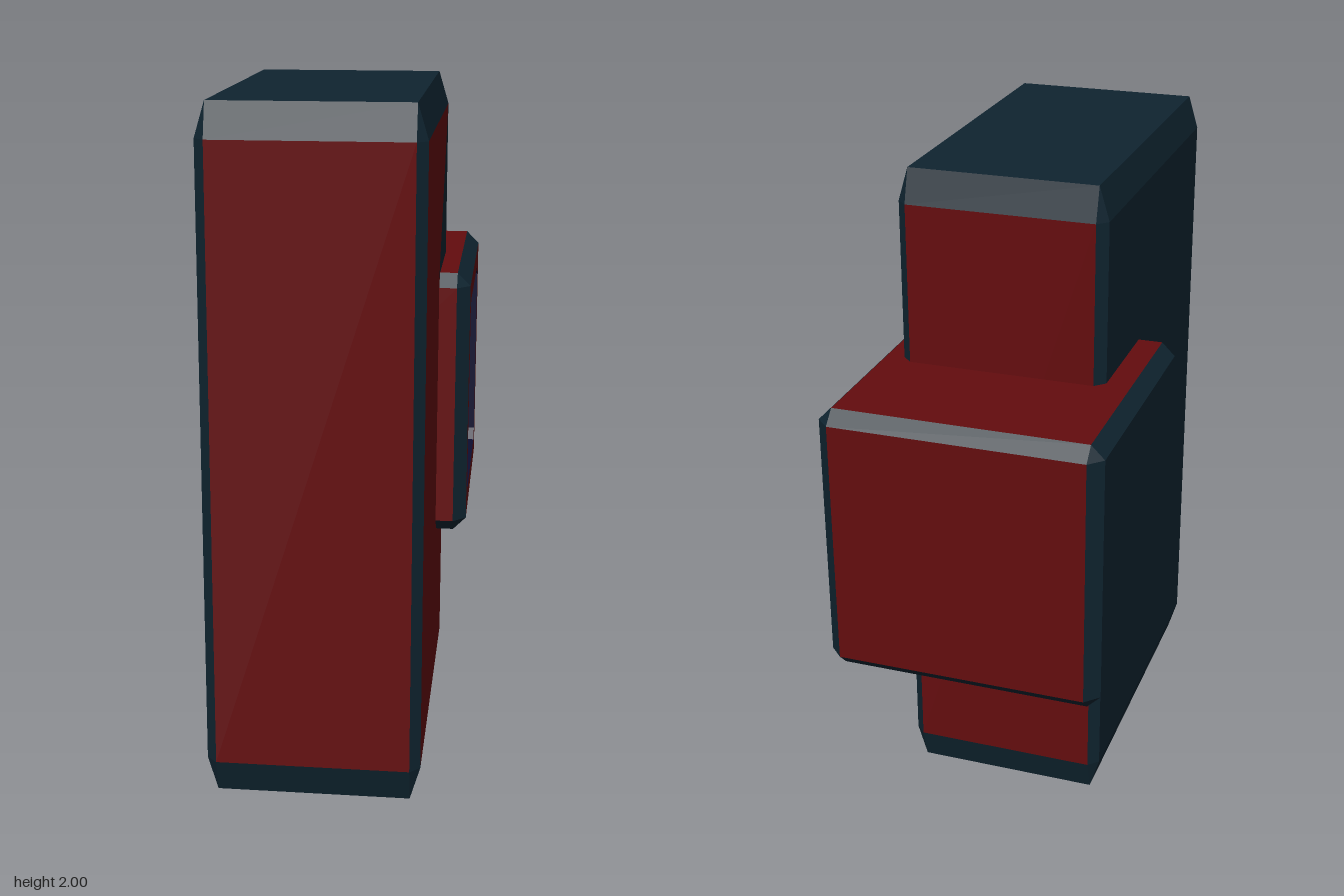
import * as THREE from 'three';

const material = (name, color, side = THREE.FrontSide) => {
  const m = new THREE.MeshStandardMaterial({ color, side });
  m.name = name;
  return m;
};

const mesh = (name, geometry, mat) => {
  const m = new THREE.Mesh(geometry, mat);
  m.name = name;
  return m;
};

// Flat-shaded geometry from convex polygons, each turned to face away from the origin
function polygonGeometry(polygons) {
  const positions = [];
  for (const poly of polygons) {
    const [a, b, c] = poly;
    const normal = b.clone().sub(a).cross(c.clone().sub(a));
    const pts = normal.dot(a) < 0 ? [...poly].reverse() : poly;
    for (let i = 1; i < pts.length - 1; i++) {
      for (const p of [pts[0], pts[i], pts[i + 1]]) positions.push(p.x, p.y, p.z);
    }
  }
  const g = new THREE.BufferGeometry();
  g.setAttribute('position', new THREE.Float32BufferAttribute(positions, 3));
  g.computeVertexNormals();
  return g;
}

// Bevelled box: half sizes h, bevel b per axis. Returns six flat faces and the bevels.
function bevelledBox(h, b) {
  // Corner point lying on the face of the given axis
  const point = (axis, s) =>
    new THREE.Vector3(...[0, 1, 2].map((i) => s[i] * (i === axis ? h[i] : h[i] - b[i])));
  const signs = (values) => {
    const s = [0, 0, 0];
    for (const [axis, v] of values) s[axis] = v;
    return s;
  };
  const faces = {};
  const bevels = [];
  for (let a = 0; a < 3; a++) {
    const u = (a + 1) % 3;
    const v = (a + 2) % 3;
    for (const s of [-1, 1]) {
      const ring = [[-1, -1], [1, -1], [1, 1], [-1, 1]];
      const quad = ring.map(([p, q]) => point(a, signs([[a, s], [u, p], [v, q]])));
      faces[(s > 0 ? '+' : '-') + 'xyz'[a]] = polygonGeometry([quad]);
      // Edge strips running along axis v, between faces a and u
      for (const t of [-1, 1]) {
        const low = signs([[a, s], [u, t], [v, -1]]);
        const high = signs([[a, s], [u, t], [v, 1]]);
        bevels.push([point(a, low), point(a, high), point(u, high), point(u, low)]);
      }
    }
  }
  for (const x of [-1, 1]) for (const y of [-1, 1]) for (const z of [-1, 1]) {
    bevels.push([0, 1, 2].map((axis) => point(axis, [x, y, z])));
  }
  return { faces, bevels: polygonGeometry(bevels) };
}

// Flat panel on the +x side; shape x runs towards -z
const sidePanel = (shape, x) =>
  new THREE.ShapeGeometry(shape).rotateY(Math.PI / 2).translate(x, 0, 0);

const shapeOf = (points) => new THREE.Shape(points.map(([x, y]) => new THREE.Vector2(x, y)));

function boxGroup(name, h, b, colors, bevelMaterial) {
  const group = new THREE.Group();
  group.name = name;
  const { faces, bevels } = bevelledBox(h, b);
  group.add(mesh(name + 'Bevels', bevels, bevelMaterial));
  const labels = { '-x': 'RightFace', '+y': 'Top', '-y': 'Bottom', '+z': 'Front', '-z': 'Back' };
  for (const key in labels) group.add(mesh(name + labels[key], faces[key], colors[key]));
  return group;
}

export function createModel() {
  const red = material('darkRed', 0x640c0e);
  const slate = material('darkSlate', 0x0f2430);
  const navy = material('navy', 0x0d0d30, THREE.DoubleSide);
  const model = new THREE.Group();
  model.name = 'model';
  const turn = -0.024;

  // Tall body
  const body = boxGroup('body', [0.311, 1, 0.5425], [0.03, 0.1, 0.03],
    { '-x': slate, '+y': slate, '-y': slate, '+z': red, '-z': red }, slate);
  body.position.set(-0.005, 1, 0.2025);
  body.rotation.y = turn;
  model.add(body);

  // Body side, split into a red field and a slate wedge
  const w = 0.5125;
  const wedge = [[w, 0.9], [0.12, 0.41], [w, 0.37]];
  const field = [[-w, -0.9], [w, -0.9], wedge[2], wedge[1], wedge[0], [-w, 0.9]];
  body.add(mesh('bodySideField', sidePanel(shapeOf(field), 0.311), red));
  body.add(mesh('bodySideWedge', sidePanel(shapeOf(wedge), 0.311), slate));

  // Cube block across the back
  const half = 0.415;
  const block = boxGroup('block', [half, half, half], [0.04, 0.04, 0.04],
    { '-x': slate, '+y': red, '-y': slate, '+z': red, '-z': red }, slate);
  block.position.set(-0.002, 1.005, -0.336);
  block.rotation.y = turn;
  model.add(block);

  // Window frame with a cut-cornered opening
  const r = 0.313;
  const c = r - 0.033;
  const opening = [[r, -c], [r, c], [c, r], [-c, r], [-r, c], [-r, -c], [-c, -r], [c, -r]];
  const f = half - 0.04;
  const frame = shapeOf([[-f, -f], [f, -f], [f, f], [-f, f]]);
  frame.holes.push(shapeOf(opening));
  block.add(mesh('windowFrame', sidePanel(frame, half), red));

  // Recess walls and floor
  const depth = 0.13;
  const floorX = half - depth;
  block.add(mesh('recessFloor', sidePanel(shapeOf(opening), floorX), navy));
  const walls = opening.map(([x, y], i) => {
    const [x2, y2] = opening[(i + 1) % opening.length];
    return [
      new THREE.Vector3(floorX, y, -x), new THREE.Vector3(floorX, y2, -x2),
      new THREE.Vector3(half, y2, -x2), new THREE.Vector3(half, y, -x),
    ];
  });
  block.add(mesh('recessWalls', polygonGeometry(walls), navy));

  return model;
}
